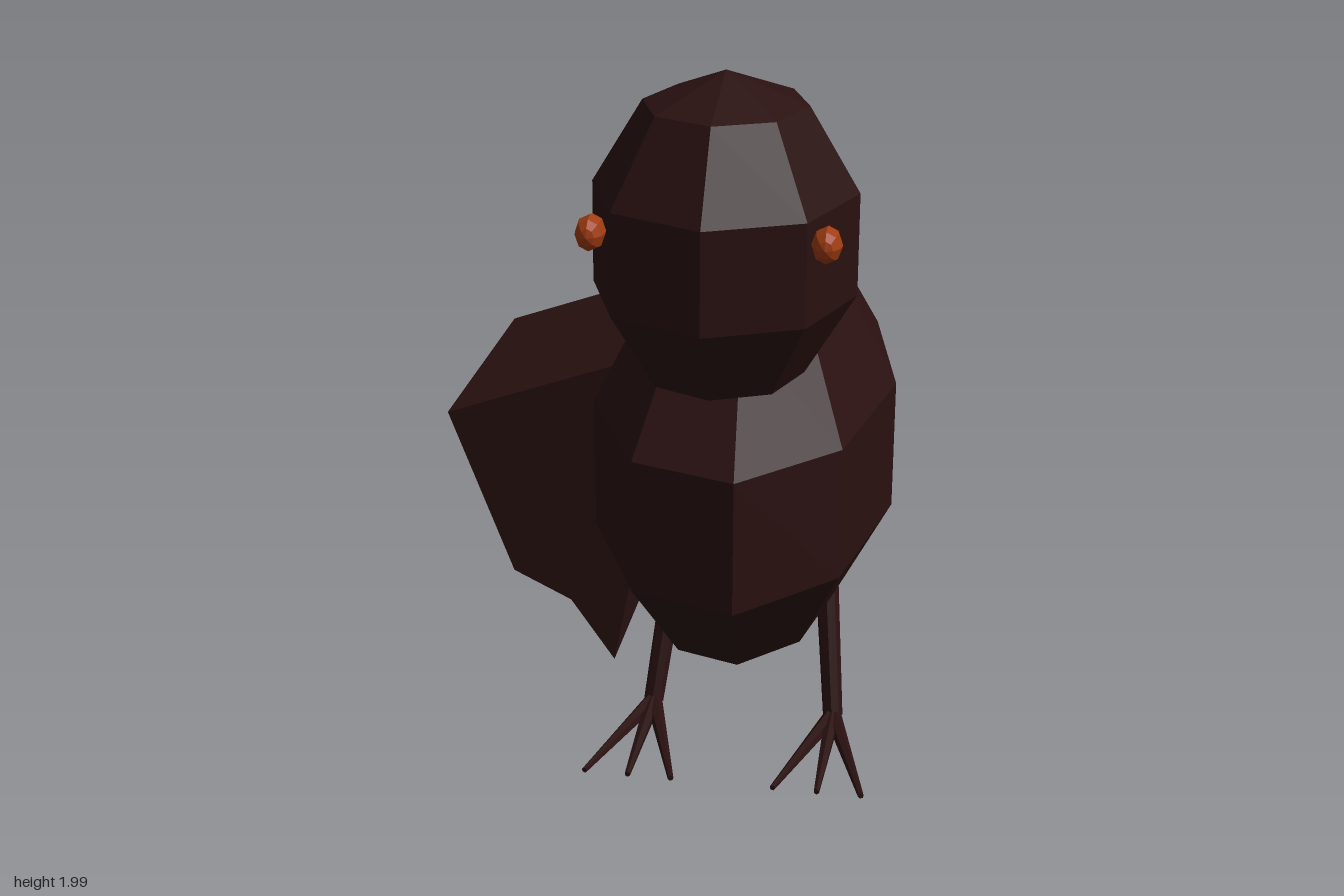
import * as THREE from 'three';

export function createModel() {
  const group = new THREE.Group();
  const feather = new THREE.MeshStandardMaterial({ color: 0x2a1111, flatShading: true });
  feather.name = 'darkBrown';
  const orange = new THREE.MeshStandardMaterial({ color: 0xa03c10, flatShading: true });
  orange.name = 'orange';
  const MID = 0.22; // the bird stands off centre, its middle plane is here

  const add = (name, geometry, material) => {
    const mesh = new THREE.Mesh(geometry, material);
    mesh.name = name;
    group.add(mesh);
    return mesh;
  };

  const ellipsoid = (name, sides, rings, radii, center, material) => {
    const mesh = add(name, new THREE.SphereGeometry(1, sides, rings), material);
    mesh.scale.set(...radii);
    mesh.position.set(...center);
    return mesh;
  };

  // Tapered rod between two points
  const rod = (name, from, to, r0, r1, sides) => {
    const a = new THREE.Vector3(...from), b = new THREE.Vector3(...to);
    const dir = b.clone().sub(a);
    const mesh = add(name, new THREE.CylinderGeometry(r1, r0, dir.length(), sides), feather);
    mesh.position.copy(a).add(b).multiplyScalar(0.5);
    mesh.quaternion.setFromUnitVectors(new THREE.Vector3(0, 1, 0), dir.normalize());
  };

  // Body and head
  const body = ellipsoid('body', 9, 5, [0.423, 0.58, 0.796], [0.218, 0.86, -0.055], feather);
  body.rotation.y = Math.PI;
  ellipsoid('head', 8, 5, [0.347, 0.42, 0.393], [MID, 1.58, 0.427], feather);

  // Thick angular tail, a prism running back from the middle of the body
  const outline = [[0.03, 1.12], [-0.625, 0.885], [-0.445, 0.41], [-0.28, 0.33], [-0.155, 0.15]];
  const shape = new THREE.Shape(outline.map(([x, y]) => new THREE.Vector2(x, y)));
  const tail = add('tail', new THREE.ExtrudeGeometry(shape, { depth: 0.79, bevelEnabled: false }), feather);
  tail.position.z = -0.8;

  // Eyes, legs and feet on both sides
  for (const [side, s] of [['left', 1], ['right', -1]]) {
    const eye = ellipsoid(side + 'Eye', 8, 6, [0.037, 0.053, 0.045], [MID + s * 0.28, 1.66, 0.69], orange);
    eye.rotation.x = Math.PI / 2;

    const ankle = [MID + s * 0.26, 0.03, -0.01];
    rod(side + 'Leg', ankle, [MID + s * 0.21, 0.5, -0.165], 0.028, 0.034, 8);
    for (const spread of [-0.12, 0, 0.12]) {
      rod(side + 'Toe', ankle, [ankle[0] + spread, 0.016, 0.39], 0.024, 0.008, 6);
    }
  }
  return group;
}
